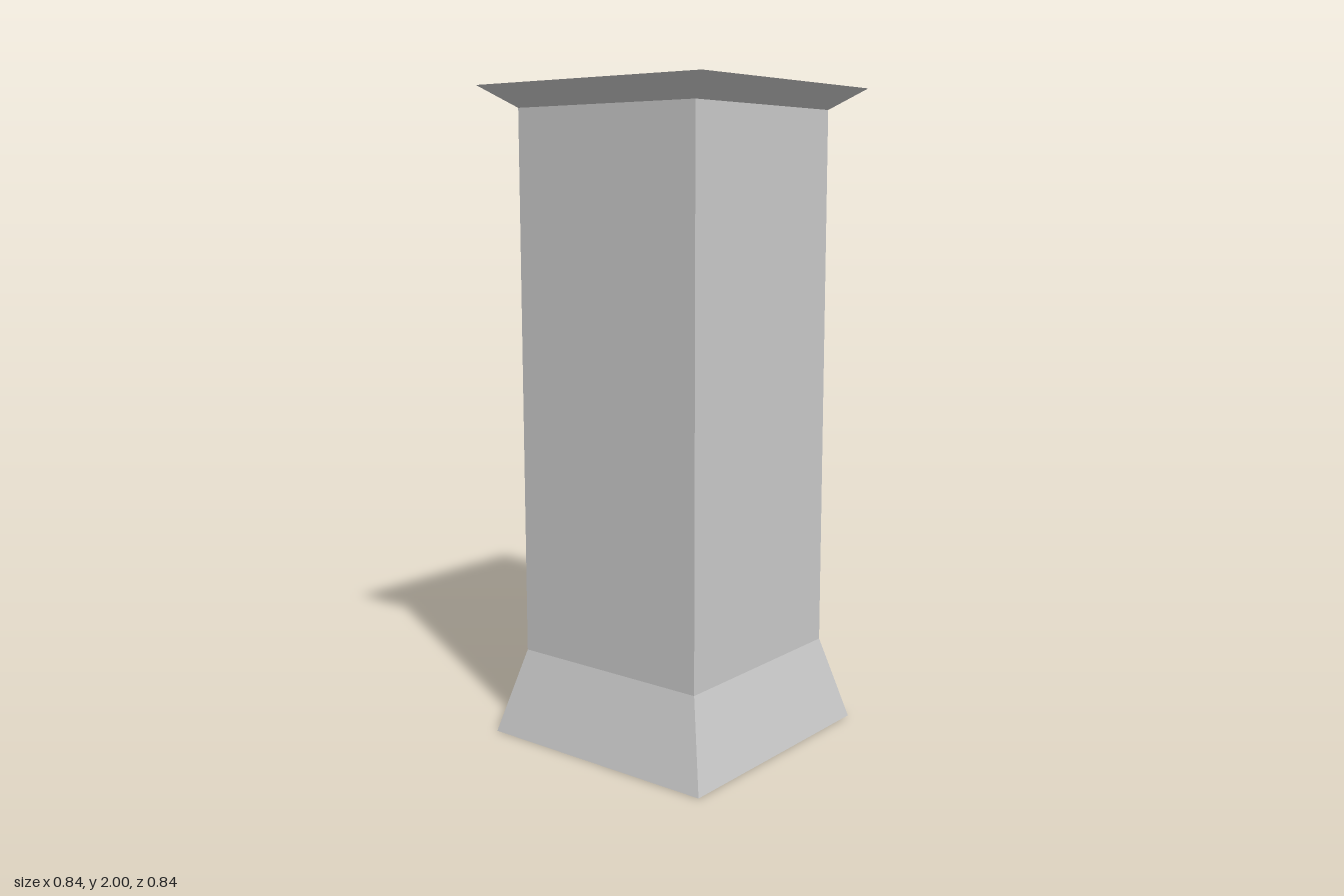
import * as THREE from 'three';

const material = new THREE.MeshStandardMaterial({ color: 0xcccccc, flatShading: true });

// Square section swept up a profile of [half width, height] points, from bottom to top
function squarePart(name, profile) {
  const points = profile.map(([half, y]) => new THREE.Vector2(half * Math.SQRT2, y));
  const geometry = new THREE.LatheGeometry(points, 4, Math.PI / 4).toNonIndexed();
  geometry.computeVertexNormals();
  const mesh = new THREE.Mesh(geometry, material);
  mesh.name = name;
  return mesh;
}

export function createModel() {
  const baseTop = 0.265, capBottom = 1.935, height = 2;
  const shaftHalf = 0.331, baseHalf = 0.402, capHalf = 0.418;

  const pillar = new THREE.Group();
  pillar.name = 'pillar';
  pillar.add(
    // Flared foot, closed underneath
    squarePart('base', [[0, 0], [baseHalf, 0], [shaftHalf, baseTop]]),
    // Straight shaft, open where it meets the base and cap
    squarePart('shaft', [[shaftHalf, baseTop], [shaftHalf, capBottom]]),
    // Outward-sloping cap with a flat top
    squarePart('cap', [[shaftHalf, capBottom], [capHalf, height], [0, height]])
  );
  return pillar;
}
